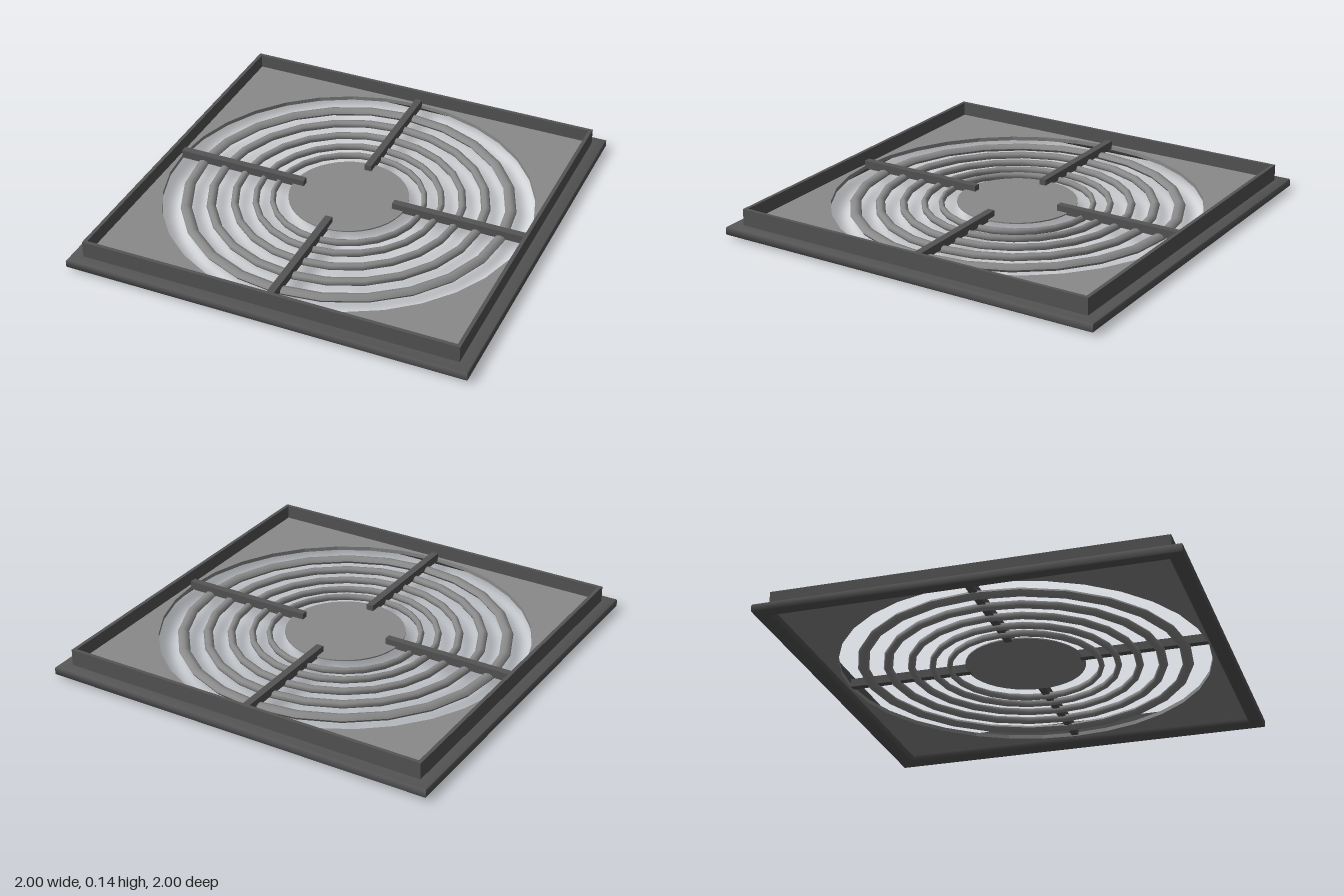
import * as THREE from 'three';
import { toCreasedNormals } from 'three/addons/utils/BufferGeometryUtils.js';

const grey = new THREE.MeshStandardMaterial({ color: 0x8a8a8a });
const darkGrey = new THREE.MeshStandardMaterial({ color: 0x555555 });

function add(group, name, geometry, material) {
  const mesh = new THREE.Mesh(geometry, material);
  mesh.name = name;
  group.add(mesh);
  return mesh;
}

// Lathe a closed [radius, y] profile, given counter-clockwise
function ring(points, sides, phase = 0) {
  const profile = [...points, points[0]].map(([r, y]) => new THREE.Vector2(r, y));
  return toCreasedNormals(new THREE.LatheGeometry(profile, sides, phase), 1);
}

// Square frame: a four-sided lathe, half-widths in place of radii
function squareFrame(points) {
  return ring(points.map(([w, y]) => [w * Math.SQRT2, y]), 4, Math.PI / 4);
}

export function createModel() {
  const model = new THREE.Group();
  model.name = 'ventGrille';

  // Outer bezel, its edges softly shaded by narrow bevels
  add(model, 'bezel', squareFrame([
    [0.92, 0.055], [0.922, 0.035], [0.932, 0.021], [0.95, 0.013],
    [0.995, 0.013], [1, 0.018], [1, 0.05], [0.995, 0.055],
  ]), darkGrey);

  // Thin upright wall behind the bezel
  add(model, 'wall', squareFrame([[0.922, 0.045], [0.94, 0.045], [0.94, 0.137], [0.922, 0.137]]), darkGrey);

  // Square plate with the round opening
  const h = 0.93;
  const outline = new THREE.Shape([[-h, -h], [h, -h], [h, h], [-h, h]].map(([x, y]) => new THREE.Vector2(x, y)));
  outline.holes.push(new THREE.Path().absarc(0, 0, 0.91, 0, Math.PI * 2, true));
  const plate = new THREE.ExtrudeGeometry(outline, { depth: 0.02, bevelEnabled: false, curveSegments: 16 });
  plate.rotateX(-Math.PI / 2).translate(0, 0.048, 0);
  add(model, 'plate', plate, grey);

  // Concentric rings, growing thicker outwards
  const rings = [[0.372, 0.028], [0.455, 0.032], [0.558, 0.038], [0.672, 0.046], [0.793, 0.055]];
  for (const [radius, width] of rings) {
    const section = [];
    for (let i = 0; i < 8; i++) {
      const a = (i / 8) * Math.PI * 2;
      section.push([radius + Math.cos(a) * width / 2, 0.052 + Math.sin(a) * 0.018]);
    }
    add(model, 'grilleRing', ring(section, 24), grey);
  }

  // Central disc: flat above, domed below
  const dome = [];
  for (let i = 0; i <= 8; i++) {
    const t = i / 8;
    dome.push(new THREE.Vector2(0.295 * t, 0.06 * t * t));
  }
  dome.push(new THREE.Vector2(0.295, 0.066), new THREE.Vector2(0, 0.066));
  add(model, 'centreDisc', toCreasedNormals(new THREE.LatheGeometry(dome, 40), 0.6), grey);

  // Four spokes lying across the rings
  for (let i = 0; i < 4; i++) {
    const spoke = new THREE.BoxGeometry(0.675, 0.042, 0.036);
    spoke.translate(0.5725, 0.075, 0);
    add(model, 'spoke', spoke, darkGrey).rotation.y = (i * Math.PI) / 2;
  }

  return model;
}
